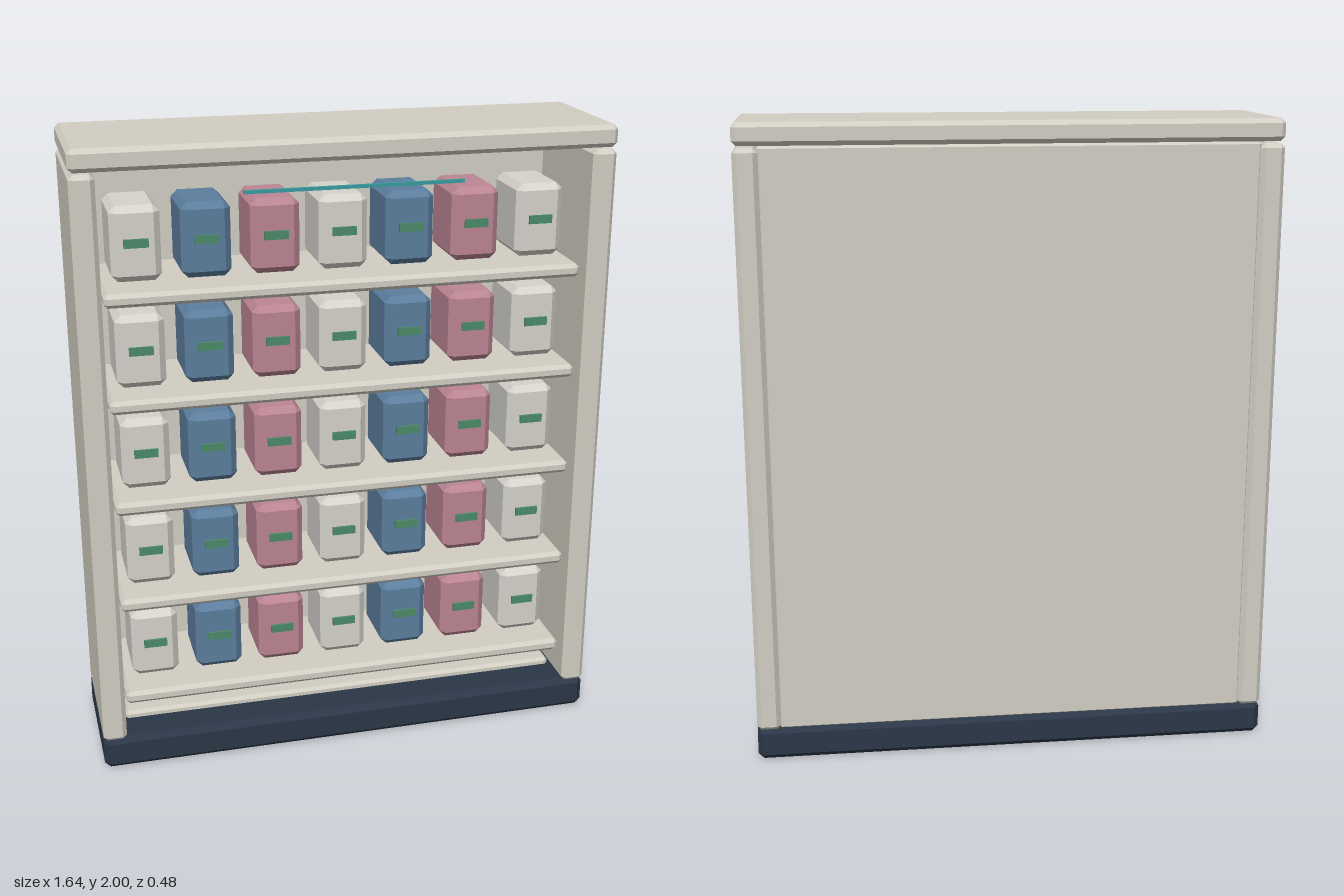
import * as THREE from 'three';
import { ConvexGeometry } from 'three/addons/geometries/ConvexGeometry.js';

const mat = (color) => new THREE.MeshStandardMaterial({ color, flatShading: true });

// Box with flat-cut edges: each corner becomes three points
function chamferBox(w, h, d, c) {
  const points = [];
  for (const sx of [-1, 1]) for (const sy of [-1, 1]) for (const sz of [-1, 1]) {
    const x = w / 2, y = h / 2, z = d / 2;
    for (const [a, b, e] of [[0, c, c], [c, 0, c], [c, c, 0]]) {
      points.push(new THREE.Vector3(sx * (x - a), sy * (y - b), sz * (z - e)));
    }
  }
  return new ConvexGeometry(points);
}

export function createModel() {
  const model = new THREE.Group();
  model.name = 'displayCabinet';

  const shell = mat(0xd2cec3), navy = mat(0x2b3747), teal = mat(0x3a9ca0), green = mat(0x4c8a6a);
  const boxColors = [mat(0xd6d3cc), mat(0x5c7e9e), mat(0xbc8593)];

  // Adds a part given its extents along each axis
  function block(name, [x0, x1], [y0, y1], [z0, z1], material, chamfer = 0, parent = model) {
    const size = [x1 - x0, y1 - y0, z1 - z0];
    const geometry = chamfer ? chamferBox(...size, chamfer) : new THREE.BoxGeometry(...size);
    const mesh = new THREE.Mesh(geometry, material);
    mesh.name = name;
    mesh.position.set((x0 + x1) / 2, (y0 + y1) / 2, (z0 + z1) / 2);
    parent.add(mesh);
    return mesh;
  }

  // Carcass
  const depth = [-0.237, 0.22];
  block('plinth', [-0.82, 0.82], [0, 0.108], depth, navy, 0.018);
  block('topSlab', [-0.82, 0.82], [1.932, 2], depth, shell, 0.014);
  block('leftSide', [0.745, 0.82], [0.1, 1.927], depth, shell, 0.014);
  block('rightSide', [-0.82, -0.745], [0.1, 1.927], depth, shell, 0.014);
  block('backPanel', [-0.75, 0.75], [0.1, 1.932], [-0.225, -0.19], shell, 0.008);
  block('floorBoard', [-0.737, 0.737], [0.09, 0.13], [-0.2, 0.1], shell, 0.01);

  // Thin light strip floating before the top shelf
  block('lightStrip', [-0.33, 0.33], [1.855, 1.865], [0.23, 0.24], teal);

  // Five shelves, each carrying seven labelled boxes
  for (let row = 0; row < 5; row++) {
    const y = 0.205 + row * 0.33;
    const shelf = new THREE.Group();
    shelf.name = `shelfRow${row + 1}`;
    model.add(shelf);
    block('shelf', [-0.737, 0.737], [y, y + 0.042], [-0.2, 0.18], shell, 0.012, shelf);
    for (let i = 0; i < 7; i++) {
      const x = (i - 3) * 0.209;
      block('storageBox', [x - 0.075, x + 0.075], [y + 0.053, y + 0.281], [-0.12, 0.1],
        boxColors[i % 3], 0.02, shelf);
      block('boxLabel', [x - 0.037, x + 0.037], [y + 0.159, y + 0.185], [0.095, 0.108], green, 0, shelf);
    }
  }
  return model;
}
